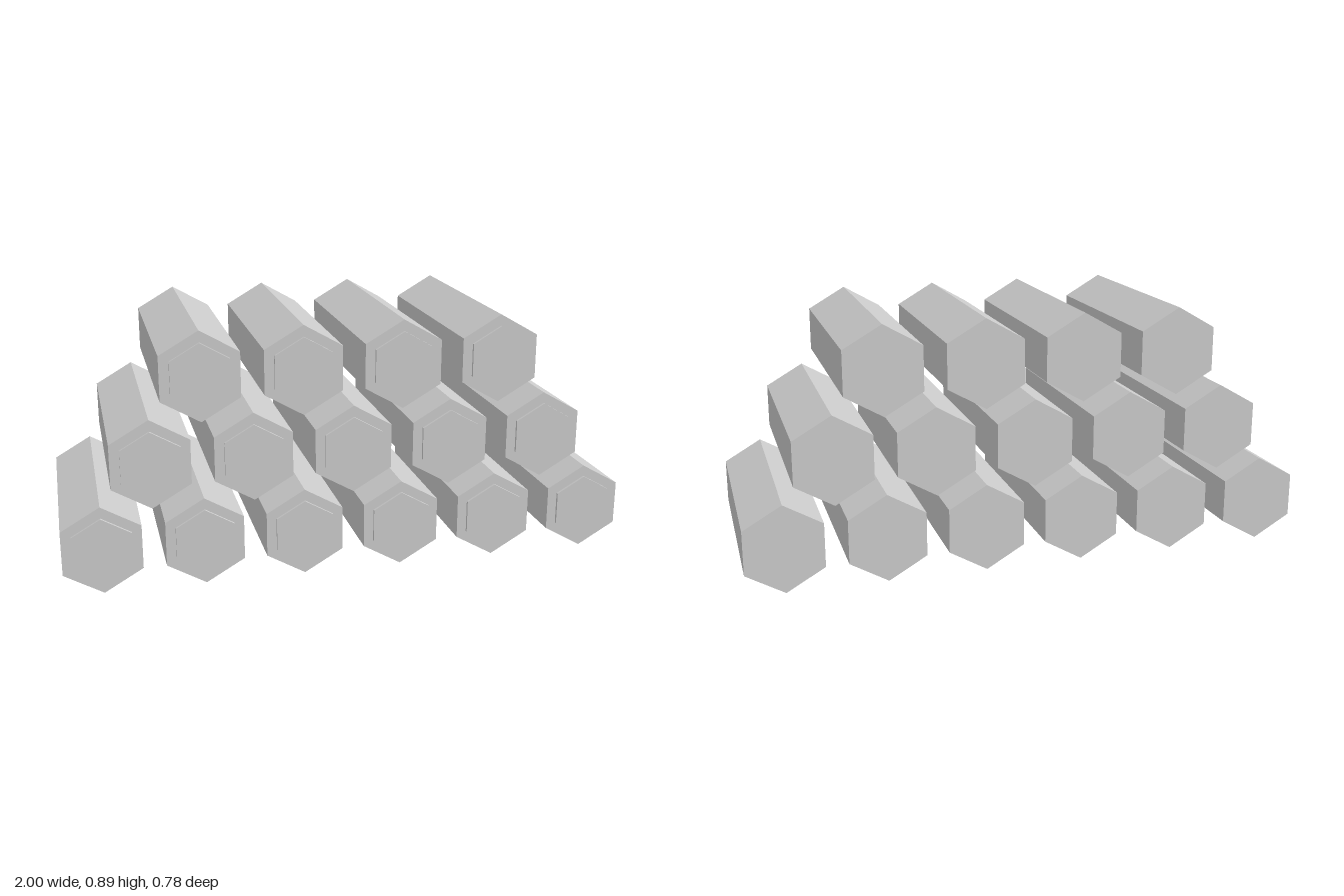
import * as THREE from 'three';

const RADIUS = 0.1547;
const PITCH = 0.3464;       // spacing across a row
const ROW_HEIGHT = 0.289;   // spacing between rows

// Six-sided prism along z, with a corner pointing up
function hexPrism(radius, zBack, zFront) {
  const geometry = new THREE.CylinderGeometry(radius, radius, zFront - zBack, 6);
  geometry.rotateX(Math.PI / 2);
  geometry.translate(0, 0, (zBack + zFront) / 2);
  return geometry;
}

export function createModel() {
  const model = new THREE.Group();
  model.name = 'hexBarStack';

  const grey = new THREE.MeshStandardMaterial({ color: 0xcccccc, flatShading: true });
  grey.name = 'light grey';

  const barGeometry = hexPrism(RADIUS, -0.39, 0.38);
  const capGeometry = hexPrism(0.1155, 0.379, 0.39);

  // Staggered rows of six, five and four bars
  [6, 5, 4].forEach((count, row) => {
    for (let i = 0; i < count; i++) {
      const unit = new THREE.Group();
      unit.name = `hexBar_row${row + 1}_${i + 1}`;
      unit.position.set((i - (count - 1) / 2) * PITCH, RADIUS + row * ROW_HEIGHT, 0);

      const bar = new THREE.Mesh(barGeometry, grey);
      bar.name = 'bar';
      // Raised plate on the front end
      const cap = new THREE.Mesh(capGeometry, grey);
      cap.name = 'frontCap';

      unit.add(bar, cap);
      model.add(unit);
    }
  });

  return model;
}
